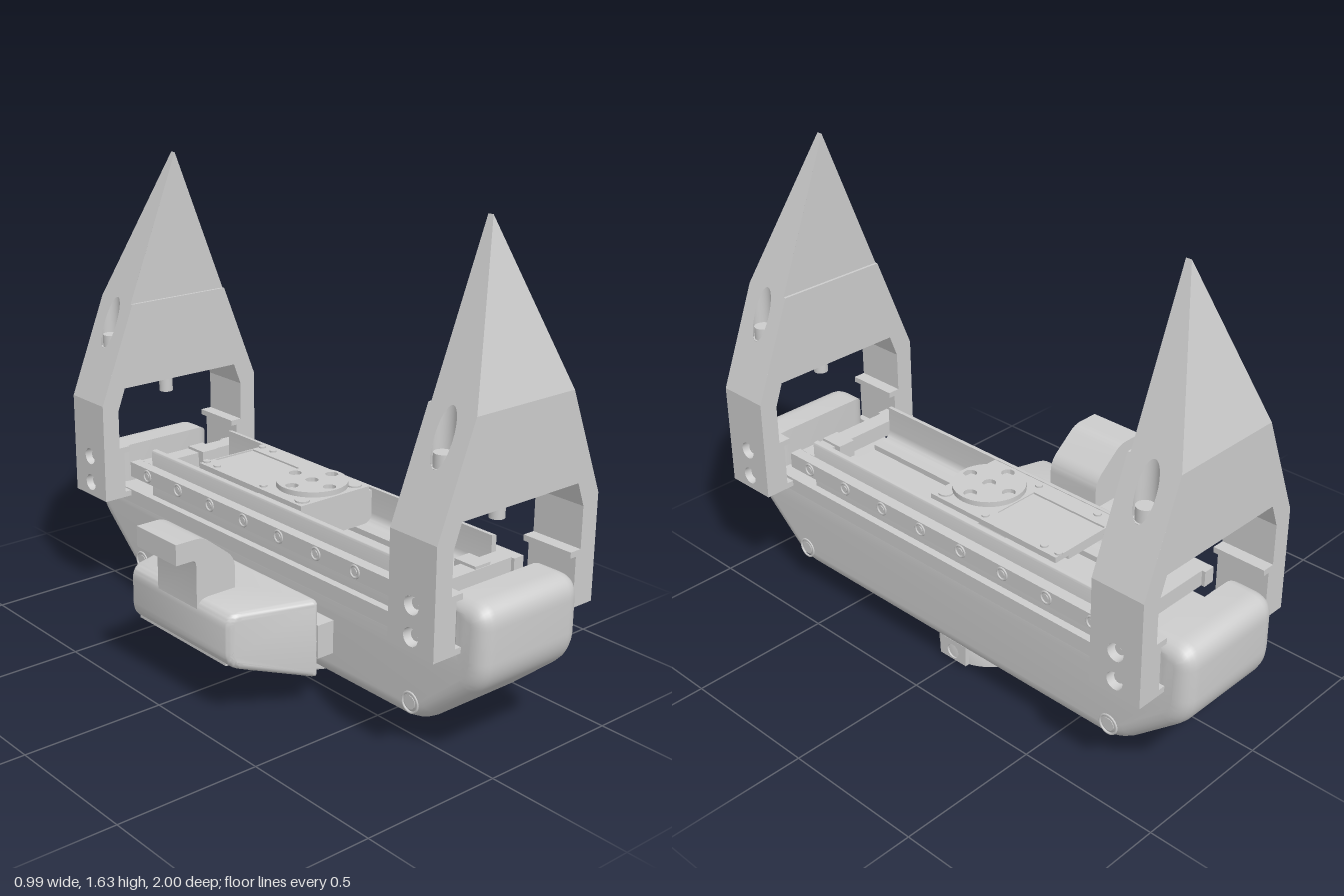
import * as THREE from 'three';
import { toCreasedNormals } from 'three/addons/utils/BufferGeometryUtils.js';

const mat = new THREE.MeshStandardMaterial({ color: 0xcccccc, side: THREE.DoubleSide });
const CX = 0.147; // centre line of the main body

function add(parent, name, geo, x = 0, y = 0, z = 0) {
  const m = new THREE.Mesh(geo, mat);
  m.name = name;
  m.position.set(x, y, z);
  parent.add(m);
  return m;
}
// Box given by its limits
function box(parent, name, x0, x1, y0, y1, z0, z1) {
  return add(parent, name, new THREE.BoxGeometry(x1 - x0, y1 - y0, z1 - z0),
    (x0 + x1) / 2, (y0 + y1) / 2, (z0 + z1) / 2);
}
function cyl(r, h, axis = 'y', open = false) {
  const g = new THREE.CylinderGeometry(r, r, h, 28, 1, open);
  if (axis === 'x') g.rotateZ(Math.PI / 2);
  if (axis === 'z') g.rotateX(Math.PI / 2);
  return g;
}
const poly = pts => new THREE.Shape(pts.map(p => new THREE.Vector2(p[0], p[1])));
// Polygon with rounded corners, points are [x, y, radius]
function roundPoly(pts) {
  const s = new THREE.Shape(), n = pts.length;
  pts.forEach((p, i) => {
    const P = new THREE.Vector2(p[0], p[1]), r = p[2] || 0;
    const toward = q => new THREE.Vector2(q[0], q[1]).sub(P).setLength(r).add(P);
    const a = r ? toward(pts[(i + n - 1) % n]) : P, b = r ? toward(pts[(i + 1) % n]) : P;
    if (i) s.lineTo(a.x, a.y); else s.moveTo(a.x, a.y);
    if (r) s.quadraticCurveTo(P.x, P.y, b.x, b.y);
  });
  s.closePath();
  return s;
}
function hole(shape, x, y, rx, ry = rx) {
  shape.holes.push(new THREE.Path().absellipse(x, y, rx, ry, 0, Math.PI * 2));
}
function extrude(shape, depth, bevel = 0) {
  const g = new THREE.ExtrudeGeometry(shape, {
    depth: depth - 2 * bevel, curveSegments: 10, bevelEnabled: bevel > 0,
    bevelSize: bevel, bevelThickness: bevel, bevelOffset: -bevel, bevelSegments: 5,
  });
  return g.translate(0, 0, bevel - depth / 2);
}
const crease = g => toCreasedNormals(g, 0.6);

// One half of a pointed end frame; the other half is its mirror image
function frameHalf() {
  const g = new THREE.Group();
  const z0 = 0.74, z1 = 0.93, zStep = 0.75, zTip = 0.77, yBend = 1.12, yTip = 1.635;
  const outline = [[0.343, 0.77], [0.343, 0.41], [0.232, 0.41], [0.232, 0.43], [0.257, 0.43], [0.257, 0.58],
    [0.232, 0.58], [0.232, 0.6], [0.277, 0.6], [0.277, 0.74], [0.247, 0.82], [0, 0.82]];
  // Flat panel along the edge p-q, drawn in (distance from q, z)
  const panel = (name, p, q, pts, holes = [], za = z0, zb = z1) => {
    const u = new THREE.Vector3(p[0] - q[0], p[1] - q[1], 0), L = u.length();
    u.normalize();
    const w = new THREE.Vector3(0, 0, 1), s = poly(pts || [[0, za], [L, za], [L, zb], [0, zb]]);
    holes.forEach(h => hole(s, ...h));
    const m = new THREE.Matrix4().makeBasis(u, w, u.clone().cross(w)).setPosition(q[0], q[1], 0);
    add(g, name, new THREE.ShapeGeometry(s, 24).applyMatrix4(m));
  };
  const lower = poly([[0, yBend], [0.204, yBend], ...outline]);
  add(g, 'frameOuterFace', new THREE.ShapeGeometry(lower), 0, 0, z1);
  add(g, 'frameInnerFace', new THREE.ShapeGeometry(lower), 0, 0, z0);
  for (const [base, tip] of [[z1, zTip], [zStep, zStep]]) {
    const t = new THREE.ShapeGeometry(poly([[0, yBend], [0.204, yBend], [0, yTip]]));
    const p = t.attributes.position;
    for (let i = 0; i < 3; i++) p.setZ(i, p.getY(i) > 1.5 ? tip : base);
    t.computeVertexNormals();
    add(g, 'frameTipFace', t);
  }
  panel('frameLedge', [0, yBend], [0.204, yBend], null, [], z0, zStep);
  const L = Math.hypot(0.343, yTip - 0.77), sB = L * (yBend - 0.77) / (yTip - 0.77);
  panel('frameSlope', [0, yTip], outline[0],
    [[0, z0], [sB, z0], [sB, zStep], [L, zStep], [L, zTip], [sB, z1], [0, z1]],
    [[L * 0.108 / 0.343, 0.835, 0.035 * L / 0.343, 0.035]]);
  for (let i = 0; i < outline.length - 1; i++)
    panel('frameEdge', outline[i], outline[i + 1], null, i ? [] : [[0.05, 0.835, 0.03], [0.15, 0.835, 0.03]]);

  // Upright screw bore, its rim cut along the slope
  const bore = cyl(0.035, 1, 'y', true).translate(0.235, 0, 0.835), bp = bore.attributes.position;
  for (let i = 0; i < bp.count; i++)
    bp.setY(i, bp.getY(i) > 0 ? 0.77 + (0.343 - bp.getX(i)) / 0.343 * 0.865 : 0.954);
  add(g, 'screwBore', bore);
  add(g, 'boreFloor', cyl(0.035, 0.002), 0.235, 0.955, 0.835);
  add(g, 'screwHead', cyl(0.029, 0.045), 0.235, 0.977, 0.835);
  // Leg screws
  for (const y of [0.46, 0.56]) {
    add(g, 'legBore', cyl(0.03, 0.05, 'x', true), 0.318, y, 0.835);
    add(g, 'legBoreFloor', cyl(0.03, 0.002, 'x'), 0.293, y, 0.835);
    add(g, 'legScrew', cyl(0.018, 0.03, 'x'), 0.308, y, 0.835);
  }
  return g;
}

function endFrame() {
  const f = new THREE.Group();
  f.name = 'endFrame';
  const a = frameHalf(), b = frameHalf();
  a.name = 'frameLeftHalf';
  b.name = 'frameRightHalf';
  b.scale.x = -1;
  f.add(a, b);
  add(f, 'hangingPin', cyl(0.025, 0.08), 0, 0.785, 0.835);
  return f;
}

function buildBody(g) {
  // Boat-shaped hull with raised ends
  const half = [[0.74, 0.09, 0.07], [1, 0.31, 0.07], [1, 0.56, 0.075], [0.85, 0.56], [0.85, 0.42]];
  const hull = roundPoly([...half, ...half.map(p => [-p[0], p[1], p[2]]).reverse()]);
  add(g, 'hull', crease(extrude(hull, 0.425, 0.055).rotateY(-Math.PI / 2)));
  box(g, 'hullRim', -0.212, 0.212, 0.32, 0.42, -0.87, 0.87);
  for (const sx of [1, -1]) for (const z of [0.71, -0.71]) {
    add(g, 'hullScrewRing', new THREE.TorusGeometry(0.033, 0.004, 8, 28).rotateY(Math.PI / 2), sx * 0.2125, 0.155, z);
    add(g, 'hullScrew', cyl(0.022, 0.006, 'x'), sx * 0.2115, 0.155, z);
  }
  // Open channel with filleted inner corners and a centre groove
  const c = [[0.09, 0.45], [0.09, 0.47], [0.165, 0.47, 0.04], [0.165, 0.592], [0.185, 0.592, 0.01], [0.185, 0.42]];
  const channel = roundPoly([...c, ...c.map(p => [-p[0], p[1], p[2]]).reverse()]);
  add(g, 'channel', crease(extrude(channel, 1.34)));
  // Side rails with screws
  for (const s of [1, -1]) {
    const a = s * 0.183, b = s * 0.225;
    box(g, 'sideRail', Math.min(a, b), Math.max(a, b), 0.48, 0.535, -0.75, 0.75);
    for (let i = 0; i < 8; i++) {
      add(g, 'railScrewRing', new THREE.TorusGeometry(0.02, 0.004, 8, 20).rotateY(Math.PI / 2), s * 0.225, 0.508, 0.65 - i * 0.185);
      add(g, 'railScrew', cyl(0.011, 0.006, 'x'), s * 0.225, 0.508, 0.65 - i * 0.185);
    }
    // End cross bars with a tab
    add(g, 'endBar', new THREE.BoxGeometry(0.37, 0.055, 0.065), 0, 0.508, s * 0.705);
    add(g, 'endTab', new THREE.BoxGeometry(0.065, 0.06, 0.09), 0.058, 0.515, s * 0.69);
  }
}

function buildCarriage(g) {
  box(g, 'carriageBlock', -0.163, 0.163, 0.47, 0.585, -0.1, 0.12);
  const plate = poly([[-0.15, -0.12], [0.15, -0.12], [0.15, 0.43], [-0.15, 0.43]]);
  plate.holes.push(poly([[-0.085, 0.12], [0.085, 0.12], [0.085, 0.425], [-0.085, 0.425]]));
  add(g, 'carriagePlate', extrude(plate, 0.02).rotateX(-Math.PI / 2), 0, 0.592, 0);
  box(g, 'carriageInset', -0.082, 0.082, 0.56, 0.598, -0.422, -0.1);
  for (const s of [1, -1]) for (const z of [-0.42, -0.36, -0.105, 0.085])
    add(g, 'plateScrew', cyl(z > 0 ? 0.025 : 0.013, 0.008), s * (z > 0 ? 0.115 : 0.125), 0.604, z);
  // Round mounting disc
  add(g, 'discHub', cyl(0.105, 0.035), 0, 0.594, 0);
  const disc = new THREE.Shape().absarc(0, 0, 0.122, 0, Math.PI * 2);
  for (const [x, y] of [[0, 0], [0.088, 0], [-0.088, 0], [0, 0.088], [0, -0.088]]) hole(disc, x, y, 0.022);
  const d = new THREE.ExtrudeGeometry(disc, { depth: 0.018, bevelEnabled: false, curveSegments: 24 });
  add(g, 'mountingDisc', crease(d.rotateX(-Math.PI / 2)), 0, 0.608, 0);
}

function buildBase(g) {
  // Hollow round foot with a pierced plate on each side
  const prof = [[0, 0.06], [0.115, 0.06], [0.115, 0.025], [0.135, 0.02], [0.135, 0], [0.16, 0], [0.163, 0.012],
    [0.177, 0.014], [0.177, 0.08], [0.17, 0.095]].map(p => new THREE.Vector2(...p));
  add(g, 'footRing', crease(new THREE.LatheGeometry(prof, 48).toNonIndexed()));
  const plate = poly([[-0.06, 0.014], [0.06, 0.014], [0.06, 0.09], [-0.06, 0.09]]);
  hole(plate, 0, 0.047, 0.026);
  for (let i = 0; i < 4; i++) {
    const m = add(g, 'footPlate', crease(extrude(plate, 0.02).translate(0, 0, 0.172)));
    m.rotation.y = i * Math.PI / 2;
  }
}

function buildClamp(g) {
  // Tapered grip: half width narrows away from the hull
  const taper = (geo, k = 1) => {
    const p = geo.attributes.position;
    for (let i = 0; i < p.count; i++) p.setZ(i, p.getZ(i) * k * (0.355 + (p.getX(i) + 0.12) * 0.317) / 0.3);
    geo.computeVertexNormals();
    return geo;
  };
  const grip = roundPoly([[-0.12, 0.11, 0.02], [-0.12, 0.385, 0.02], [-0.42, 0.385, 0.05], [-0.42, 0.205, 0.05]]);
  hole(grip, -0.27, 0.245, 0.11, 0.018);
  add(g, 'clampGrip', crease(taper(extrude(grip, 0.6, 0.022))));
  add(g, 'gripCore', taper(new THREE.BoxGeometry(0.27, 0.09, 0.6).translate(-0.27, 0.245, 0), 0.88));
  for (const z of [-0.3, -0.1, 0.1, 0.3])
    box(g, 'clampSpacer', -0.13, -0.06, 0.185, 0.3, z - 0.055, z + 0.055);
  // Hooked lever
  const hook = roundPoly([[-0.495, 0.59], [-0.39, 0.59, 0.03], [-0.265, 0.49, 0.04], [-0.265, 0.34],
    [-0.418, 0.34], [-0.418, 0.52, 0.02], [-0.495, 0.52]]);
  add(g, 'clampLever', crease(extrude(hook, 0.21)));
}

export function createModel() {
  const model = new THREE.Group();
  model.name = 'model';
  const part = (name, build, x) => {
    const g = new THREE.Group();
    g.name = name;
    g.position.x = x;
    build(g);
    model.add(g);
  };
  part('body', buildBody, CX);
  part('carriage', buildCarriage, CX);
  part('foot', buildBase, CX);
  part('clamp', buildClamp, 0);
  part('endFrames', g => {
    const back = endFrame();
    back.rotation.y = Math.PI;
    g.add(endFrame(), back);
  }, CX);
  return model;
}
